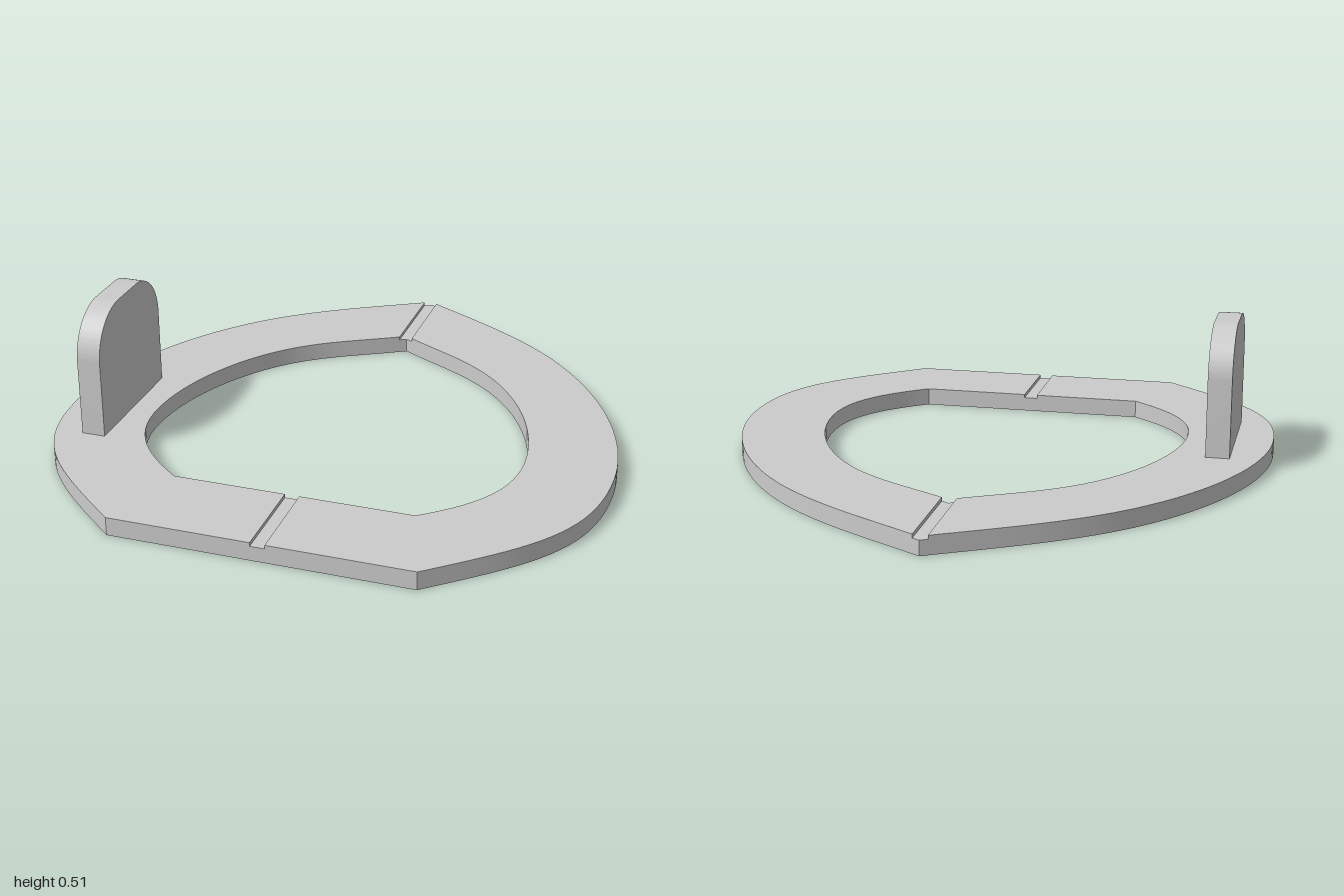
import * as THREE from 'three';
import { toCreasedNormals } from 'three/addons/utils/BufferGeometryUtils.js';

const HEIGHT = 0.065;      // plate thickness
const GROOVE = 0.025;      // half width of the groove
const GROOVE_FLOOR = 0.052;

export function createModel() {
  const group = new THREE.Group();
  const material = new THREE.MeshStandardMaterial({ color: 0xcccccc });

  const extrude = (shape, depth) =>
    new THREE.ExtrudeGeometry(shape, { depth, bevelEnabled: false, curveSegments: 20 });
  const add = (name, geometry) => {
    const mesh = new THREE.Mesh(toCreasedNormals(geometry, 0.4), material);
    mesh.name = name;
    group.add(mesh);
  };
  // Lay a plan drawn in (x, z) flat on the ground
  const slab = (shape, height) => extrude(shape, height).rotateX(Math.PI / 2).translate(0, height, 0);

  // One half of the pointed ring, mirrored by side
  const halfRing = (side) => {
    const s = new THREE.Shape();
    const curve = (a, b, c, d, e, f) => s.bezierCurveTo(side * a, b, side * c, d, side * e, f);
    s.moveTo(side * GROOVE, -0.986);
    curve(0.21, -0.88, 0.43, -0.77, 0.6, -0.6);
    curve(0.84, -0.36, 0.985, -0.03, 0.985, 0.25);
    curve(0.985, 0.62, 0.82, 0.75, 0.52, 1);
    s.lineTo(side * GROOVE, 1);
    s.lineTo(side * GROOVE, 0.68);
    s.lineTo(side * 0.42, 0.68);
    curve(0.58, 0.56, 0.675, 0.44, 0.675, 0.25);
    curve(0.675, 0.05, 0.58, -0.21, 0.4, -0.385);
    curve(0.28, -0.5, 0.15, -0.55, GROOVE, -0.626);
    s.closePath();
    return s;
  };
  add('leftRing', slab(halfRing(1), HEIGHT));
  add('rightRing', slab(halfRing(-1), HEIGHT));

  // Groove floors joining the halves at the tip and at the straight front
  const plan = (points) => new THREE.Shape(points.map(([x, z]) => new THREE.Vector2(x, z)));
  add('backGroove', slab(plan([
    [0, -1], [GROOVE, -0.986], [GROOVE, -0.626], [0, -0.64], [-GROOVE, -0.626], [-GROOVE, -0.986],
  ]), GROOVE_FLOOR));
  add('frontGroove', slab(plan([
    [-GROOVE, 0.68], [GROOVE, 0.68], [GROOVE, 1], [-GROOVE, 1],
  ]), GROOVE_FLOOR));

  // Upright tab with rounded top corners, drawn in (z, y)
  const z0 = 0.003, z1 = 0.495, top = 0.515, r = 0.175;
  const tab = new THREE.Shape();
  tab.moveTo(z0, HEIGHT);
  tab.lineTo(z1, HEIGHT);
  tab.lineTo(z1, top - r);
  tab.absarc(z1 - r, top - r, r, 0, Math.PI / 2, false);
  tab.lineTo(z0 + r, top);
  tab.absarc(z0 + r, top - r, r, Math.PI / 2, Math.PI, false);
  tab.closePath();
  add('tab', extrude(tab, 0.085).rotateY(-Math.PI / 2).translate(-0.765, 0, 0));

  return group;
}
